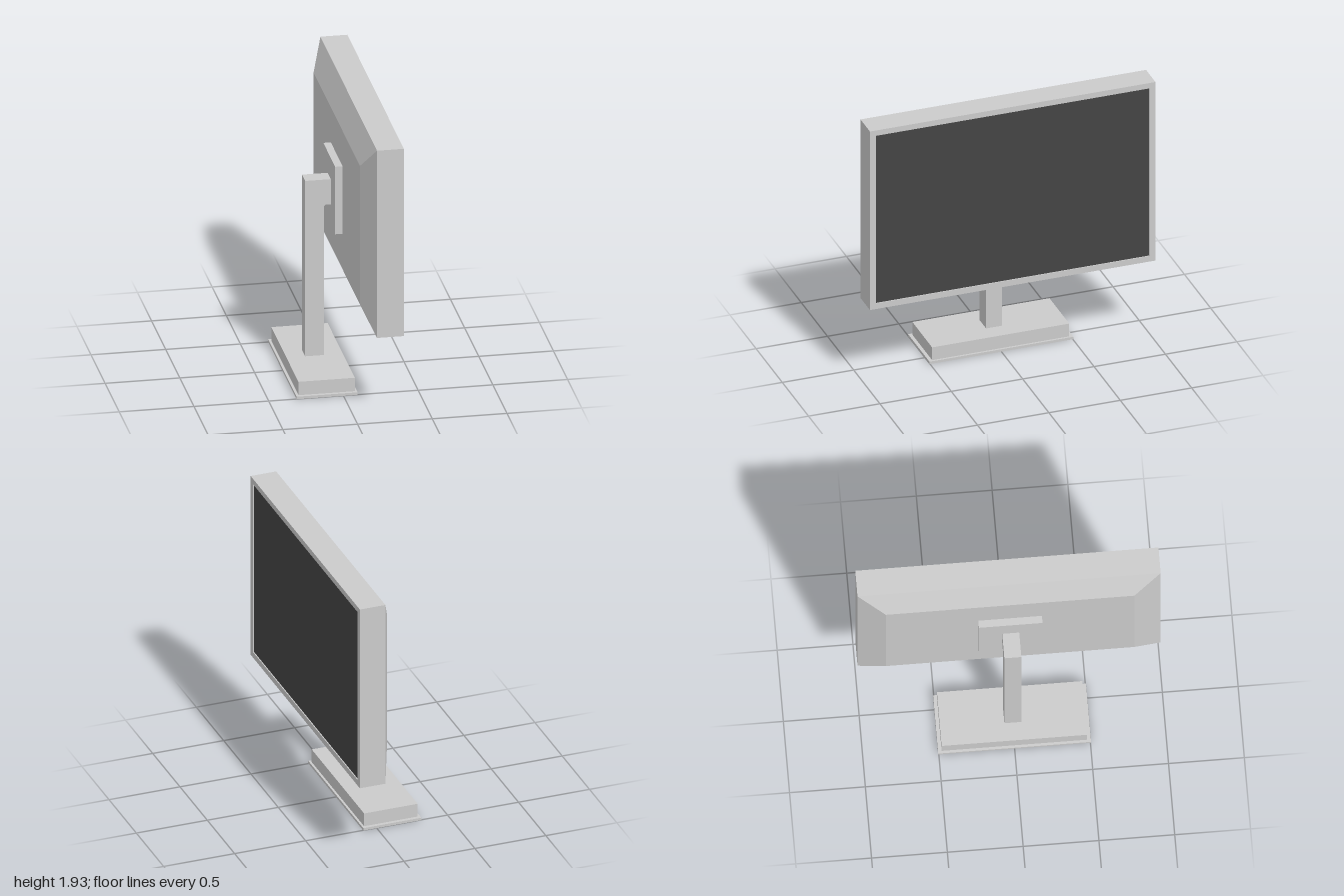
import * as THREE from 'three';

const grey = new THREE.MeshStandardMaterial({ color: 0xcccccc, flatShading: true });
const dark = new THREE.MeshStandardMaterial({ color: 0x444444, flatShading: true });

function add(group, name, geometry, material = grey) {
  const mesh = new THREE.Mesh(geometry, material);
  mesh.name = name;
  group.add(mesh);
  return mesh;
}

// Box from its minimum and maximum x and y, centred on z
function block(x0, x1, y0, y1, depth) {
  return new THREE.BoxGeometry(x1 - x0, y1 - y0, depth)
    .translate((x0 + x1) / 2, (y0 + y1) / 2, 0);
}

// Joins rectangular rings [x, yMin, yMax, halfZ] along x; the first ring is capped
function loftRings(rings) {
  const positions = [];
  const index = [];
  for (const [x, y0, y1, z] of rings) {
    positions.push(x, y0, z, x, y0, -z, x, y1, -z, x, y1, z);
  }
  index.push(0, 2, 1, 0, 3, 2);
  for (let r = 0; r < rings.length - 1; r++) {
    for (let i = 0; i < 4; i++) {
      const a = r * 4 + i;
      const b = r * 4 + (i + 1) % 4;
      index.push(a, b, b + 4, a, b + 4, a + 4);
    }
  }
  const geometry = new THREE.BufferGeometry();
  geometry.setAttribute('position', new THREE.Float32BufferAttribute(positions, 3));
  geometry.setIndex(index);
  const flat = geometry.toNonIndexed();
  flat.computeVertexNormals();
  return flat;
}

export function createModel() {
  const model = new THREE.Group();
  model.name = 'monitor';

  // Housing with a bevelled back and a shallow front recess
  add(model, 'housing', loftRings([
    [0.05, 0.775, 1.76, 0.82],
    [0.13, 0.603, 1.935, 1],
    [0.31, 0.603, 1.935, 1],
    [0.31, 0.645, 1.895, 0.957],
    [0.303, 0.645, 1.895, 0.957],
  ]));

  // Screen at the bottom of the recess
  const screen = add(model, 'screen', new THREE.PlaneGeometry(1.914, 1.25), dark);
  screen.rotation.y = Math.PI / 2;
  screen.position.set(0.303, 1.27, 0);

  // Mounting plate behind the housing
  add(model, 'mountPlate', block(0, 0.05, 1.03, 1.51, 0.42));

  // Post with its arm, chamfered at the inner corner
  const profile = new THREE.Shape([
    [-0.172, 0.112], [-0.045, 0.112], [-0.045, 1.172], [-0.036, 1.181],
    [0, 1.181], [0, 1.36], [-0.172, 1.36],
  ].map(([x, y]) => new THREE.Vector2(x, y)));
  add(model, 'post', new THREE.ExtrudeGeometry(profile, { depth: 0.112, bevelEnabled: false })
    .translate(0, 0, -0.056));

  // Base block on a thin, wider foot plate
  add(model, 'base', block(-0.297, 0.08, 0.018, 0.113, 0.96));
  add(model, 'footPlate', block(-0.314, 0.095, 0, 0.018, 1.008));

  return model;
}
